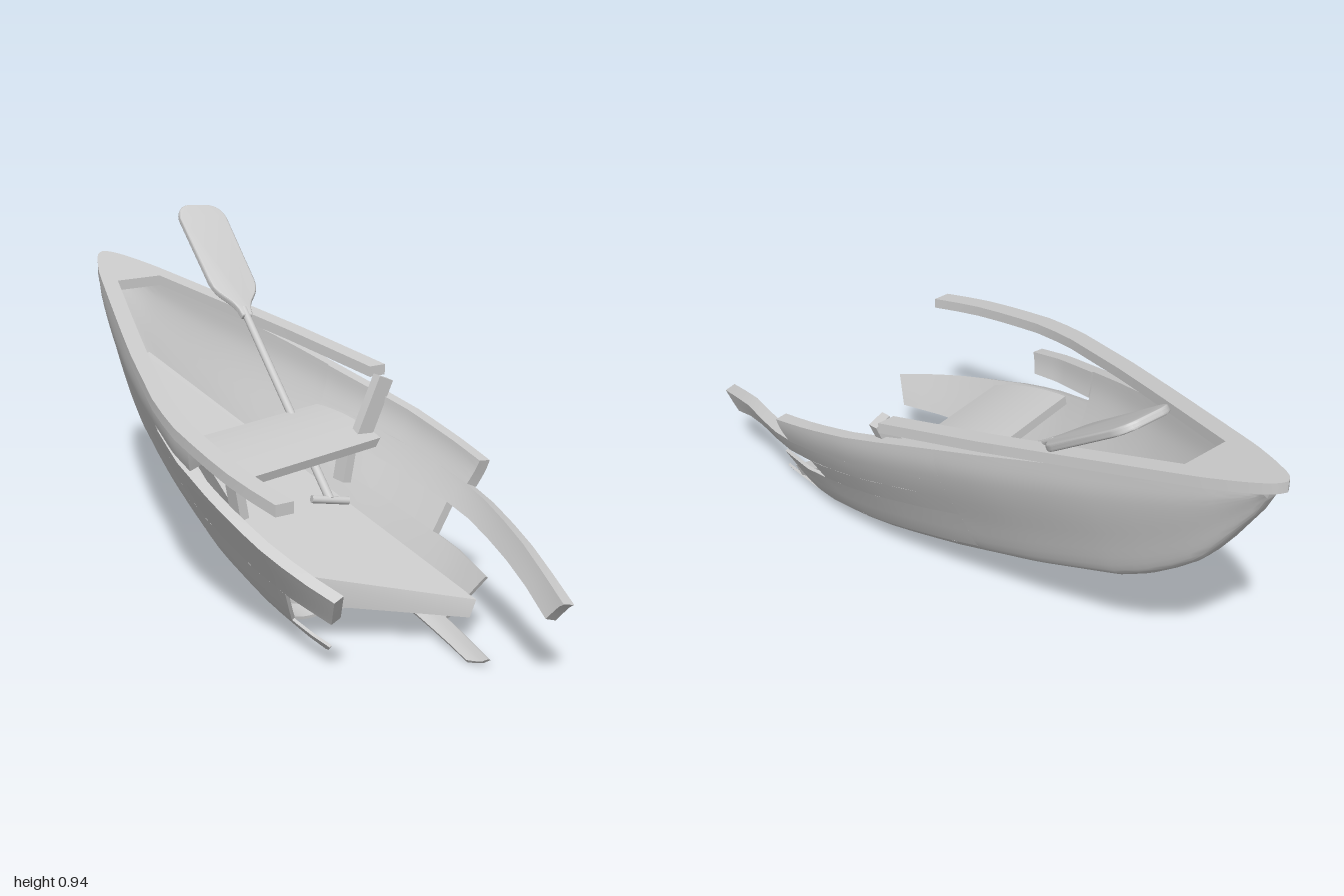
import * as THREE from 'three';
import { toCreasedNormals } from 'three/addons/utils/BufferGeometryUtils.js';

const V = (x, y, z) => new THREE.Vector3(x, y, z);
const clamp = THREE.MathUtils.clamp;
const lerp = THREE.MathUtils.lerp;

// piecewise-linear lookup
function table(rows, z) {
  for (let i = 1; i < rows.length; i++) {
    const [a, va] = rows[i - 1], [b, vb] = rows[i];
    if (z <= b) return lerp(va, vb, clamp((z - a) / (b - a), 0, 1));
  }
  return rows[rows.length - 1][1];
}

// lines of the boat along z (bow at -1)
const KEEL = [[-0.96, 0.72], [-0.93, 0.66], [-0.85, 0.54], [-0.79, 0.46], [-0.72, 0.4], [-0.64, 0.34], [-0.55, 0.29],
  [-0.3, 0.2], [0, 0.11], [0.3, 0.04], [0.5, 0.01], [0.8, -0.027], [1, -0.15]];
const BEAM = [[-1, 0], [-0.99, 0.018], [-0.97, 0.034], [-0.94, 0.05], [-0.9, 0.069], [-0.83, 0.098], [-0.74, 0.128],
  [-0.45, 0.222], [-0.24, 0.288], [0.06, 0.37], [0.2, 0.395], [0.35, 0.402], [0.5, 0.4], [0.64, 0.378], [0.8, 0.32], [1, 0.25]];
// hull beam relative to the rail: the right side is pushed in towards the stern
const FIT = {
  1: [[0, 0.97], [0.4, 1], [0.5, 1], [0.64, 0.96], [0.8, 0.97], [1, 1]],
  [-1]: [[-0.4, 0.97], [0.18, 0.875], [0.45, 0.87], [0.7, 0.83]],
};
const sheer = z => 0.78 - 0.176 * (z + 1);
const centre = z => 0.04 * clamp(0.06 - z, 0, 1);

// half section: beam fraction, height fraction
const SECTION = new THREE.CatmullRomCurve3([[0, 0], [0.22, 0], [0.38, 0.03], [0.5, 0.09], [0.7, 0.37], [0.91, 0.67],
  [0.98, 0.82], [1, 1]].map(([x, y]) => V(x, y, 0)));
const LAST = 7;
const topEdge = z => LAST - 0.8 * clamp((z + 0.6) / 1.1, 0, 1);

// closed solid through rings of points; rings run along one face and back along the other
function loft(rings, crease = 0.6) {
  const pos = [], n = rings[0].length;
  const tri = (a, b, c) => pos.push(...a.toArray(), ...b.toArray(), ...c.toArray());
  const quad = (a, b, c, d) => { tri(a, b, c); tri(a, c, d); };
  for (let i = 0; i + 1 < rings.length; i++)
    for (let j = 0; j < n; j++) {
      const k = (j + 1) % n;
      quad(rings[i][j], rings[i][k], rings[i + 1][k], rings[i + 1][j]);
    }
  const first = rings[0], last = rings[rings.length - 1];
  for (let j = 0; j < n / 2 - 1; j++) {
    quad(first[j], first[n - 1 - j], first[n - 2 - j], first[j + 1]);
    quad(last[j], last[j + 1], last[n - 2 - j], last[n - 1 - j]);
  }
  // turn the faces outward when the signed volume is negative
  let volume = 0;
  const at = i => V(pos[i], pos[i + 1], pos[i + 2]);
  for (let i = 0; i < pos.length; i += 9) volume += at(i).dot(at(i + 3).cross(at(i + 6)));
  if (volume < 0)
    for (let i = 0; i < pos.length; i += 9)
      for (let k = 0; k < 3; k++) [pos[i + 3 + k], pos[i + 6 + k]] = [pos[i + 6 + k], pos[i + 3 + k]];
  const g = new THREE.BufferGeometry();
  g.setAttribute('position', new THREE.Float32BufferAttribute(pos, 3));
  return toCreasedNormals(g, crease);
}

// point on the hull skin, moved inward by a thickness
function skin(side, z, t, inset) {
  const p = SECTION.getPoint(t / LAST), d = SECTION.getTangent(t / LAST);
  const k = table(KEEL, z), B = table(BEAM, z) * table(FIT[side], z), H = sheer(z) - 0.025 - k;
  const dx = d.x * B, dy = d.y * H, len = Math.hypot(dx, dy) || 1;
  const x = Math.max(0, p.x * B - inset * dy / len);
  return V(centre(z) + side * x, k + p.y * H + inset * dx / len, z);
}

// thick strip of hull between two girth values; the aft end may be slanted and the top may taper
function strip(side, z0, zLo, zHi, lo, hi, thick, { rows = 10, ease = 1, hiEnd = hi } = {}) {
  const rings = [], cols = Math.max(3, Math.ceil((Math.min(hi, LAST) - lo) * 4));
  for (let i = 0; i <= rows; i++) {
    const u = (i / rows) ** ease, outer = [], inner = [];
    for (let j = 0; j <= cols; j++) {
      const v = j / cols, z = lerp(z0, lerp(zLo, zHi, v), u);
      const t = lerp(lo, Math.min(lerp(hi, hiEnd, u), topEdge(z)), v);
      outer.push(skin(side, z, t, 0));
      inner.unshift(skin(side, z, t, thick));
    }
    rings.push([...outer, ...inner]);
  }
  return loft(rings);
}

// gunwale rail, filled in across the bow
function rail(side, zEnd) {
  const stations = [];
  for (let i = 0; i <= 14; i++) stations.push([-1 + 0.25 * (i / 14) ** 1.8, false]);
  for (let i = 0; i <= 16; i++) stations.push([lerp(-0.75, zEnd, i / 16), true]);
  return loft(stations.map(([z, open]) => {
    const b = table(BEAM, z), inner = open ? b - 0.052 : 0, y = sheer(z), c = centre(z);
    return [V(c + side * b, y, z), V(c + side * inner, y, z),
      V(c + side * inner, y - 0.03, z), V(c + side * b, y - 0.03, z)];
  }), 0.5);
}

// square post between two points
function post(a, b, w, d) {
  const g = new THREE.BoxGeometry(w, a.distanceTo(b), d);
  g.applyQuaternion(new THREE.Quaternion().setFromUnitVectors(V(0, 1, 0), b.clone().sub(a).normalize()));
  const m = a.clone().add(b).multiplyScalar(0.5);
  return g.translate(m.x, m.y, m.z);
}

export function createModel() {
  const model = new THREE.Group();
  const material = new THREE.MeshStandardMaterial({ color: 0xcccccc });
  const add = (name, geometry, parent = model) => {
    const mesh = new THREE.Mesh(geometry, material);
    mesh.name = name;
    parent.add(mesh);
  };

  // whole forward hull
  for (const [side, label] of [[1, 'left'], [-1, 'right']])
    add(label + 'ForwardHull', strip(side, -0.96, -0.1, -0.1, 0, LAST, 0.03, { rows: 28, ease: 1.5 }));

  // broken planks aft: side, end at lower edge, end at upper edge, girth range, thickness, girth at the tip
  [
    ['leftTopPlanks', 1, 0.47, 0.49, 5.13, LAST, 0.035],
    ['leftLongPlank', 1, 0.95, 1.0, 4.6, 5.13, 0.035],
    ['leftMiddlePlank', 1, 0.42, 0.42, 4.1, 4.6, 0.025],
    ['leftLowerPlank', 1, 0.58, 0.66, 3.1, 4.1, 0.01],
    ['leftBottomPlank', 1, 0.73, 0.79, 2.3, 3.1, 0.008],
    ['leftBottom', 1, 0.34, 0.36, 0, 2.3, 0.008],
    ['rightTopPlank', -1, 0.16, 0.18, 5.5, LAST, 0.035],
    ['rightMiddlePlank', -1, 0.64, 0.69, 3.9, 5.25, 0.03, 4.5],
    ['rightLowerPlank', -1, 0.43, 0.47, 3.2, 3.9, 0.01],
    ['rightBottomPlank', -1, 0.5, 0.58, 2.4, 3.2, 0.008],
    ['rightBottom', -1, 0.34, 0.36, 0, 2.4, 0.008],
  ].forEach(([name, side, zLo, zHi, lo, hi, thick, hiEnd]) =>
    add(name, strip(side, -0.1, zLo, zHi, lo, hi, thick, { hiEnd })));

  add('leftRail', rail(1, 0.06));
  add('rightRail', rail(-1, 0.64));

  // sloping floor with a broken, skewed aft edge: top corners and edge depths on both sides
  add('floor', loft([
    { l: V(0.02, 0.5, -0.74), r: V(0.06, 0.5, -0.74), dl: 0.08, dr: 0.06 },
    { l: V(-0.225, 0.213, 0.4), r: V(0.23, 0.122, 0.65), dl: 0.088, dr: 0.045 },
  ].map(({ l, r, dl, dr }) =>
    [l, r, V(r.x - 0.02, r.y - dr, r.z), V(l.x + 0.02, l.y - dl, l.z)])));

  // cambered seat and its legs
  const seat = new THREE.Group();
  seat.name = 'seat';
  const profile = new THREE.Shape();
  profile.moveTo(-0.125, -0.015);
  profile.lineTo(0.125, -0.015);
  profile.lineTo(0.125, 0.01);
  profile.quadraticCurveTo(0, 0.035, -0.125, 0.01);
  const board = new THREE.ExtrudeGeometry(profile, { depth: 0.52, bevelEnabled: false, curveSegments: 8 });
  board.translate(0, 0, -0.26).rotateY(Math.PI / 2).rotateX(0.19).rotateY(0.2).translate(0.028, 0.42, 0.06);
  add('seatBoard', toCreasedNormals(board, 0.5), seat);
  [[-0.205, 0.17, 0.025], [0.245, 0.07, -0.025], [0.07, -0.04, 0]].forEach(([x, z, lean]) =>
    add('seatLeg', post(V(x + lean, 0.28, z), V(x, 0.415, z), 0.026, 0.05), seat));
  model.add(seat);

  // oar mount leaning on the left side
  add('oarMount', post(V(0.265, 0.4, 0.09), V(0.335, 0.57, 0.1), 0.05, 0.03));

  // oar, built along +y
  const oar = new THREE.Group();
  oar.name = 'oar';
  const L = 1.16;
  add('oarShaft', new THREE.CylinderGeometry(0.0115, 0.0125, 0.72, 14).translate(0, 0.36, 0), oar);
  add('oarGrip', new THREE.CylinderGeometry(0.011, 0.011, 0.11, 12).rotateZ(Math.PI / 2 - 0.15), oar);
  const blade = new THREE.Shape();
  blade.moveTo(-0.012, 0.69);
  blade.bezierCurveTo(-0.015, 0.76, -0.066, 0.76, -0.07, 0.83);
  blade.lineTo(-0.074, L - 0.06);
  blade.quadraticCurveTo(-0.07, L - 0.012, -0.03, L - 0.006);
  blade.lineTo(0.03, L - 0.006);
  blade.quadraticCurveTo(0.07, L - 0.012, 0.074, L - 0.06);
  blade.lineTo(0.07, 0.83);
  blade.bezierCurveTo(0.066, 0.76, 0.015, 0.76, 0.012, 0.69);
  const bladeGeo = new THREE.ExtrudeGeometry(blade, {
    depth: 0.008, bevelThickness: 0.006, bevelSize: 0.006, bevelSegments: 3, curveSegments: 8 });
  add('oarBlade', toCreasedNormals(bladeGeo.translate(0, 0, -0.004), 0.8), oar);
  const along = V(0.145, 0.662, -0.94).normalize();
  const across = V(1, 0, 0).addScaledVector(along, -along.x).normalize();
  oar.quaternion.setFromRotationMatrix(new THREE.Matrix4().makeBasis(across, along, across.clone().cross(along)));
  oar.position.set(0.11, 0.272, 0.17);
  model.add(oar);

  return model;
}
